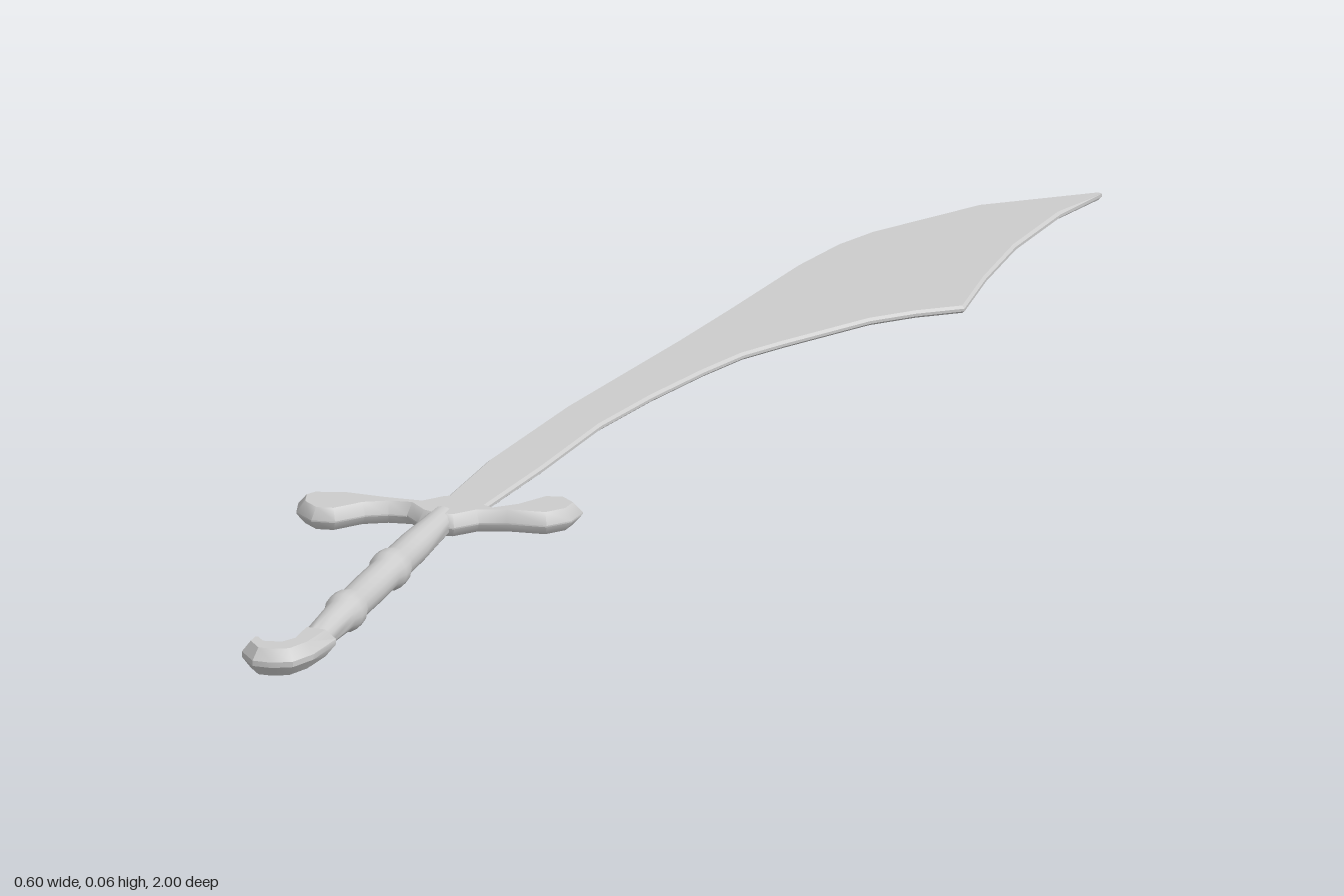
import * as THREE from 'three';
import { toCreasedNormals } from 'three/addons/utils/BufferGeometryUtils.js';

const material = new THREE.MeshStandardMaterial({ color: 0xcccccc });

function part(name, geometry, crease = 0.6) {
  const mesh = new THREE.Mesh(toCreasedNormals(geometry, crease), material);
  mesh.name = name;
  return mesh;
}

// Flat plate from an [x, z] outline, centred on height y, chamfered to a ridge all round
function plate(outline, y, height, flat, chamfer) {
  const shape = new THREE.Shape(outline.map(([x, z]) => new THREE.Vector2(x, -z)));
  const geometry = new THREE.ExtrudeGeometry(shape, {
    depth: flat, bevelEnabled: true, bevelSegments: 1,
    bevelThickness: (height - flat) / 2, bevelSize: chamfer, bevelOffset: -chamfer,
  });
  return geometry.rotateX(-Math.PI / 2).translate(0, y - flat / 2, 0);
}

export function createModel() {
  const sword = new THREE.Group();
  sword.name = 'sword';

  // Curved blade, widening to a clipped point
  const blade = [
    [-0.125, 0.4], [-0.12, 0.2], [-0.093, -0.015], [-0.04, -0.29], [-0.018, -0.42],
    [0.01, -0.6], [0.033, -0.69], [0.06, -0.75], [0.16, -0.895], [0.3, -1],
    [0.275, -0.91], [0.262, -0.78], [0.267, -0.66], [0.28, -0.55], [0.225, -0.508],
    [0.177, -0.46], [0.098, -0.34], [0.062, -0.28], [0.035, -0.205], [0.003, -0.095],
    [-0.024, 0.026], [-0.04, 0.196], [-0.066, 0.4],
  ];
  sword.add(part('blade', plate(blade, 0.0235, 0.011, 0.004, 0.004)));

  // S-shaped crossguard with a rounded lobe at each end
  const guard = [
    [-0.29, 0.424], [-0.302, 0.445], [-0.292, 0.477], [-0.262, 0.496], [-0.23, 0.488],
    [-0.2, 0.452], [-0.172, 0.436], [-0.147, 0.43], [-0.124, 0.447], [-0.097, 0.452],
    [-0.07, 0.447], [-0.045, 0.418], [-0.01, 0.403], [0.045, 0.392], [0.07, 0.362],
    [0.073, 0.328], [0.042, 0.308], [0.01, 0.318], [-0.016, 0.36], [-0.038, 0.38],
    [-0.066, 0.372], [-0.093, 0.354], [-0.12, 0.372], [-0.14, 0.396], [-0.19, 0.403],
    [-0.245, 0.407],
  ];
  sword.add(part('crossguard', plate(guard, 0.0285, 0.033, 0.002, 0.012), 0.7));

  // Round grip with two raised rings
  const profile = [
    [0, 0.42], [0.019, 0.42], [0.02, 0.46], [0.023, 0.53], [0.0235, 0.59], [0.0285, 0.605],
    [0.0285, 0.622], [0.0235, 0.637], [0.024, 0.69], [0.0235, 0.75], [0.0285, 0.765],
    [0.0285, 0.782], [0.0235, 0.797], [0.021, 0.84], [0.018, 0.9], [0, 0.9],
  ].map(([r, z]) => new THREE.Vector2(r, z));
  const grip = new THREE.LatheGeometry(profile, 16).rotateX(Math.PI / 2).translate(-0.097, 0.0285, 0);
  sword.add(part('grip', grip, 0.8));

  // Hooked pommel
  const pommel = [
    [-0.118, 0.88], [-0.118, 0.93], [-0.126, 0.943], [-0.141, 0.947], [-0.154, 0.935],
    [-0.17, 0.942], [-0.171, 0.97], [-0.145, 0.995], [-0.118, 0.992], [-0.092, 0.978],
    [-0.076, 0.942], [-0.068, 0.88],
  ];
  sword.add(part('pommel', plate(pommel, 0.0285, 0.04, 0.008, 0.011)));

  return sword;
}
